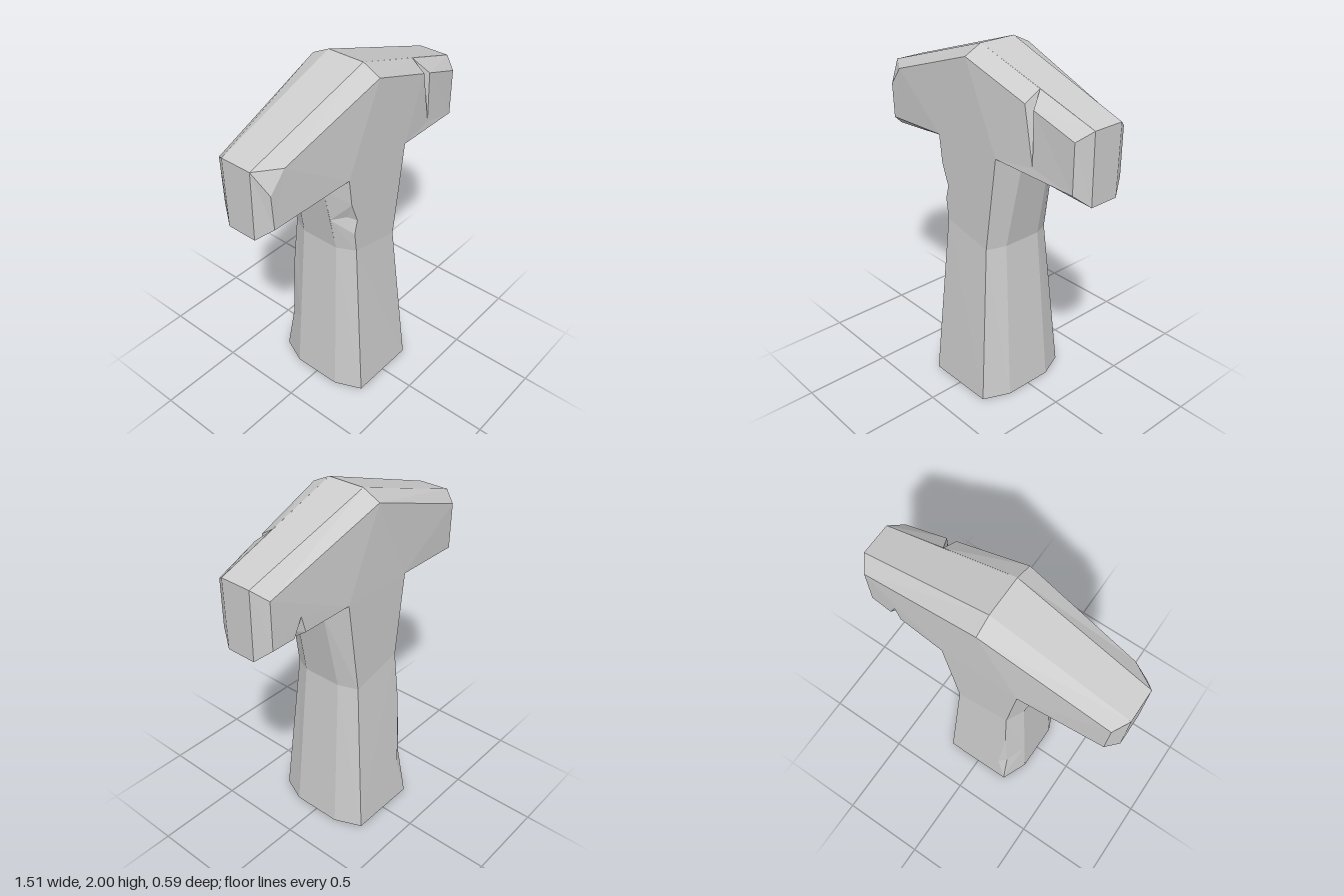
import * as THREE from 'three';

// Outer rim of the T, clockwise from the apex: x, y, half depth
const rim = [
  [0, 2, 0.11], [0.755, 1.75, 0.09], [0.755, 1.365, 0.085], [0.29, 1.41, 0.1],
  [0.2, 0.94, 0.115], [0.27, 0, 0.145], [-0.27, 0, 0.145], [-0.215, 1, 0.115],
  [-0.29, 1.41, 0.1], [-0.755, 1.365, 0.085], [-0.755, 1.75, 0.09], [-0.755, 1.75, 0.09],
];

// Bevelled face outline matching the rim point by point
const face = [
  [0, 1.95, 0.213], [0.705, 1.7, 0.167], [0.705, 1.435, 0.167], [0.225, 1.48, 0.215],
  [0.15, 0.93, 0.215], [0.205, 0, 0.295], [-0.205, 0, 0.295], [-0.165, 1, 0.215],
  [-0.225, 1.48, 0.215], [-0.7, 1.435, 0.167], [-0.705, 1.7, 0.167], [-0.705, 1.7, 0.167],
];

// The front's upper corner on the right arm is broken off
const frontFace = face.slice();
frontFace[10] = [-0.71, 1.63, 0.166];
frontFace[11] = [-0.62, 1.74, 0.173];

// Face panels by outline index: left arm, centre, shaft, right arm
const panels = [[0, 1, 2, 3], [0, 3, 4, 7, 8], [4, 5, 6, 7], [0, 8, 9, 10, 11]];

// Chips, keyed by the edge they cut: two lips, face tip, floor and rim end
const frontChips = {
  0: { a: [0.4, 1.808, 0.188], b: [0.455, 1.789, 0.184], tip: [0.46, 1.5, 0.188],
    floor: [0.435, 1.7, 0.155], end: [0.41, 1.864, 0.1] },
  7: { a: [-0.18, 1.12, 0.215], b: [-0.205, 1.32, 0.215], tip: [-0.16, 1.2, 0.215],
    floor: [-0.192, 1.22, 0.175], end: [-0.25, 1.2, 0.107] },
};
const backChips = {
  2: { a: [0.575, 1.447, 0.18], b: [0.505, 1.454, 0.187], tip: [0.53, 1.55, 0.185],
    floor: [0.54, 1.46, 0.145], end: [0.54, 1.386, 0.091] },
  6: { a: [-0.203, 0.04, 0.291], b: [-0.177, 0.7, 0.239], tip: [-0.15, 0.25, 0.275],
    floor: [-0.195, 0.3, 0.245], end: [-0.25, 0.36, 0.134] },
};

function createModel() {
  const positions = [];
  const tri = (...pts) => pts.forEach((p) => positions.push(...p));
  const quad = (a, b, c, d) => { tri(a, b, c); tri(a, c, d); };
  const n = rim.length;

  // One face with its bevel and chips; side is 1 for front, -1 for back
  function addSide(outline, chips, side) {
    const at = (p) => [p[0], p[1], p[2] * side];
    const facing = (a, b, c) => {
      const cross = (b[0] - a[0]) * (c[1] - a[1]) - (b[1] - a[1]) * (c[0] - a[0]);
      if (cross * side > 0) tri(at(a), at(b), at(c));
      else tri(at(a), at(c), at(b));
    };
    const bevel = (a, b, c, d) => {
      const q = [a, b, c, d].map(at);
      quad(...(side > 0 ? q : q.reverse()));
    };

    // Flat panels, notched where a chip enters
    for (const panel of panels) {
      const pts = [];
      panel.forEach((i, k) => {
        pts.push(outline[i]);
        const chip = chips[i];
        if (chip && panel[k + 1] === i + 1) pts.push(chip.a, chip.tip, chip.b);
      });
      const flat = pts.map((p) => new THREE.Vector2(p[0], p[1]));
      for (const [a, b, c] of THREE.ShapeUtils.triangulateShape(flat, [])) {
        facing(pts[a], pts[b], pts[c]);
      }
    }

    // Bevel strip and chip walls
    for (let i = 0; i < n; i++) {
      const j = (i + 1) % n;
      const chip = chips[i];
      if (!chip) {
        bevel(outline[i], outline[j], rim[j], rim[i]);
        continue;
      }
      const { a, b, tip, floor, end } = chip;
      bevel(outline[i], a, end, rim[i]);
      bevel(b, outline[j], rim[j], end);
      for (const lip of [a, b]) {
        facing(lip, floor, end);
        facing(lip, tip, floor);
      }
    }
  }

  addSide(frontFace, frontChips, 1);
  addSide(face, backChips, -1);

  // Outer wall joining both bevels, including the base
  for (let i = 0; i < n; i++) {
    const p = rim[i];
    const q = rim[(i + 1) % n];
    quad(p, q, [q[0], q[1], -q[2]], [p[0], p[1], -p[2]]);
  }

  const geometry = new THREE.BufferGeometry();
  geometry.setAttribute('position', new THREE.Float32BufferAttribute(positions, 3));
  geometry.computeVertexNormals();

  const pillar = new THREE.Mesh(
    geometry,
    new THREE.MeshStandardMaterial({ color: 0xcccccc, flatShading: true }),
  );
  pillar.name = 'stonePillar';

  const group = new THREE.Group();
  group.name = 'tShapedPillar';
  group.add(pillar);
  return group;
}

export { createModel };
